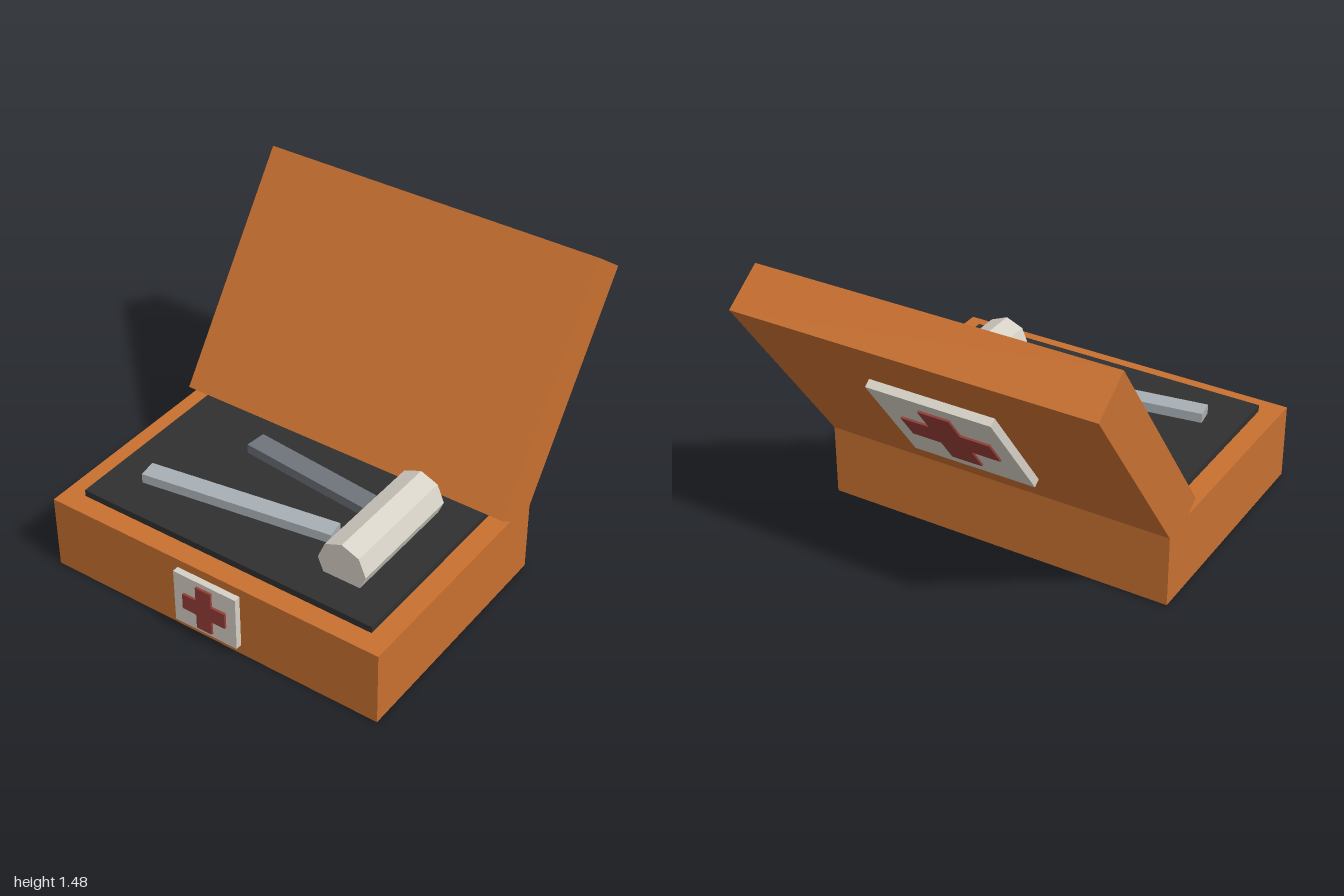
import * as THREE from 'three';

const mat = (name, color) => {
  const m = new THREE.MeshStandardMaterial({ color });
  m.name = name;
  return m;
};

export function createModel() {
  const orange = mat('orange case', 0xc87030);
  const cream = mat('cream', 0xd6d1c6);
  const red = mat('red', 0x963e38);
  const black = mat('black lining', 0x303030);
  const steel = mat('light steel', 0xa8afb5);
  const darkSteel = mat('dark steel', 0x6e747a);

  const model = new THREE.Group();
  model.name = 'openFirstAidBox';

  const box = (parent, name, material, size, pos, turn = 0) => {
    const mesh = new THREE.Mesh(new THREE.BoxGeometry(...size), material);
    mesh.name = name;
    mesh.position.set(...pos);
    mesh.rotation.y = turn;
    parent.add(mesh);
    return mesh;
  };

  // Square plate with a raised cross, standing on z = 0 and facing +z
  const badge = (name, width, height, depth, span, arm, rise) => {
    const group = new THREE.Group();
    group.name = name;
    box(group, 'badgePlate', cream, [width, height, depth], [0, 0, depth / 2]);
    const s = span / 2, a = arm / 2;
    const outline = [[-a, -s], [a, -s], [a, -a], [s, -a], [s, a], [a, a],
      [a, s], [-a, s], [-a, a], [-s, a], [-s, -a], [-a, -a]];
    const shape = new THREE.Shape(outline.map(([x, y]) => new THREE.Vector2(x, y)));
    const cross = new THREE.Mesh(
      new THREE.ExtrudeGeometry(shape, { depth: rise, bevelEnabled: false }), red);
    cross.name = 'badgeCross';
    cross.position.z = depth;
    group.add(cross);
    return group;
  };

  // Case bottom and its dark lining
  box(model, 'caseBase', orange, [1.83, 0.39, 1.265], [0, 0.195, 0.3225]);
  box(model, 'lining', black, [1.62, 0.035, 1.055], [0, 0.4075, 0.3225]);

  // Open lid leaning back, with a large badge on its outside
  const lid = new THREE.Group();
  lid.name = 'lid';
  lid.position.set(0, 0.8875, -0.53);
  lid.rotation.x = -0.62;
  box(lid, 'lidPanel', orange, [1.83, 1.272, 0.245], [0, 0, 0]);
  const lidBadge = badge('lidBadge', 0.64, 0.63, 0.041, 0.46, 0.16, 0.01);
  lidBadge.position.z = -0.1225;
  lidBadge.rotation.y = Math.PI;
  lid.add(lidBadge);
  model.add(lid);

  // Small badge on the front
  const frontBadge = badge('frontBadge', 0.35, 0.29, 0.033, 0.24, 0.085, 0.012);
  frontBadge.position.set(0, 0.2, 0.955);
  model.add(frontBadge);

  // Two tools lying on the lining
  box(model, 'frontTool', steel, [0.99, 0.05, 0.096], [-0.145, 0.45, 0.53], 0.15);
  box(model, 'rearTool', darkSteel, [0.9, 0.05, 0.11], [0.093, 0.45, 0.177], -0.105);

  // Eight-sided bandage roll
  const roll = new THREE.Mesh(
    new THREE.CylinderGeometry(0.128, 0.128, 0.635, 8).toNonIndexed(), cream);
  roll.geometry.computeVertexNormals();
  roll.name = 'bandageRoll';
  roll.rotation.x = Math.PI / 2;
  roll.position.set(0.53, 0.497, 0.3575);
  model.add(roll);

  return model;
}
